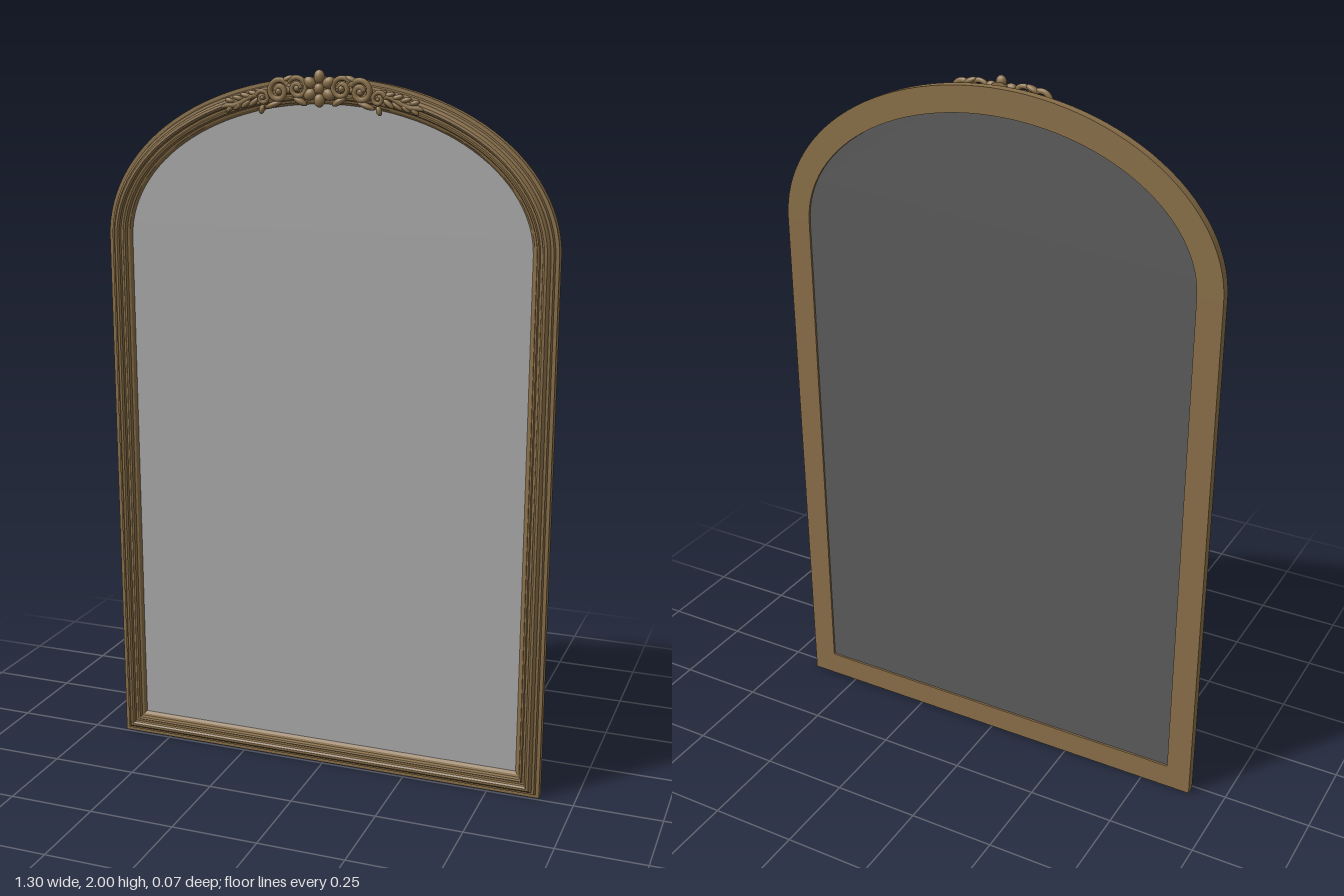
import * as THREE from 'three';
import { toCreasedNormals } from 'three/addons/utils/BufferGeometryUtils.js';

const HALF_W = 0.65, SPRING = 1.53, RISE = 0.45, ARCH_STEPS = 56;

// Arched outline moved inward by d, counterclockwise from the bottom left corner
function outline(d) {
  const pts = [new THREE.Vector2(-HALF_W + d, d), new THREE.Vector2(HALF_W - d, d)];
  for (let i = 0; i <= ARCH_STEPS; i++) {
    const t = Math.PI * i / ARCH_STEPS;
    pts.push(new THREE.Vector2((HALF_W - d) * Math.cos(t), SPRING + (RISE - d) * Math.sin(t)));
  }
  return pts;
}

// Sweeps a closed profile of [inset, z] pairs round the outline
function sweepFrame(profile) {
  const rings = profile.map(([d]) => outline(d));
  const n = rings[0].length, m = profile.length;
  const pos = [], index = [];
  rings.forEach((ring, j) => ring.forEach(p => pos.push(p.x, p.y, profile[j][1])));
  for (let j = 0; j < m; j++) {
    for (let i = 0; i < n; i++) {
      const k = (j + 1) % m, h = (i + 1) % n;
      const a = j * n + i, b = j * n + h, c = k * n + h, e = k * n + i;
      index.push(a, b, c, a, c, e);
    }
  }
  const g = new THREE.BufferGeometry();
  g.setAttribute('position', new THREE.Float32BufferAttribute(pos, 3));
  g.setIndex(index);
  return toCreasedNormals(g, 0.45);
}

// Height of the middle of the arch moulding at x
const archY = x => SPRING + 0.415 * Math.sqrt(1 - (x / 0.615) ** 2);

export function createModel() {
  const model = new THREE.Group();
  const wood = new THREE.MeshStandardMaterial({ color: 0x8a7049 });
  wood.name = 'antique gold';
  const glass = new THREE.MeshStandardMaterial({ color: 0xaaaaaa });
  glass.name = 'mirror grey';
  const backing = new THREE.MeshStandardMaterial({ color: 0x5c5c5c });
  backing.name = 'backing grey';

  const add = (parent, name, geo, mat) => {
    const mesh = new THREE.Mesh(geo, mat);
    mesh.name = name;
    parent.add(mesh);
    return mesh;
  };

  // Stepped frame moulding
  add(model, 'frame', sweepFrame([
    [0, -0.035], [0, -0.008], [0.01, -0.008], [0.013, 0.001], [0.02, 0.002],
    [0.022, 0.009], [0.027, 0.014], [0.034, 0.015], [0.039, 0.011], [0.041, 0.004],
    [0.047, 0.004], [0.05, 0.008], [0.055, 0.006], [0.058, -0.003], [0.064, -0.005],
    [0.071, -0.014], [0.071, -0.035],
  ]), wood);

  // Mirror and rear panel
  const pane = new THREE.ShapeGeometry(new THREE.Shape(outline(0.069)));
  add(model, 'mirror', pane, glass).position.z = -0.013;
  const rear = add(model, 'rearPanel', pane, backing);
  rear.rotation.y = Math.PI;
  rear.position.z = -0.029;

  // Carved crest
  const crest = new THREE.Group();
  crest.name = 'crest';
  model.add(crest);
  const ball = new THREE.SphereGeometry(1, 16, 10);
  const blob = (name, x, y, z, sx, sy, sz, turn = 0) => {
    const b = add(crest, name, ball, wood);
    b.position.set(x, y, z);
    b.scale.set(sx, sy, sz);
    b.rotation.z = turn;
  };

  // Central rosette
  const cy = 1.951;
  const disc = add(crest, 'rosetteBase', new THREE.CylinderGeometry(0.03, 0.034, 0.016, 24), wood);
  disc.rotation.x = Math.PI / 2;
  disc.position.set(0, cy, 0.014);
  for (let i = 0; i < 6; i++) {
    const t = Math.PI / 2 + i * Math.PI / 3;
    blob('petal', 0.031 * Math.cos(t), cy + 0.031 * Math.sin(t), 0.021, 0.018, 0.015, 0.011, t);
  }
  blob('rosetteCentre', 0, cy, 0.025, 0.014, 0.014, 0.01);

  // Spiral scroll: a tube winding inward from radius r
  const scroll = (x, y, z, r, start, turns, side, thick) => {
    const pts = [];
    for (let i = 0; i <= 20; i++) {
      const f = i / 20, t = start + f * turns * Math.PI * 2, q = r * (1 - 0.75 * f);
      pts.push(new THREE.Vector3(side * (x + q * Math.cos(t)), y + q * Math.sin(t), z));
    }
    add(crest, 'scroll', new THREE.TubeGeometry(new THREE.CatmullRomCurve3(pts), 40, thick, 8), wood);
    blob('scrollEye', side * x, y, z, r * 0.32, r * 0.32, 0.009);
  };

  for (const s of [1, -1]) {
    scroll(0.062, 1.951, 0.022, 0.03, 0.6, 1.4, s, 0.007);
    scroll(0.115, 1.943, 0.022, 0.032, 2.6, -1.4, s, 0.008);
    scroll(0.163, 1.925, 0.019, 0.02, 0.4, 1.2, s, 0.006);

    // Stem running along the arch
    const stem = [];
    for (let i = 0; i <= 8; i++) {
      const x = 0.05 + i * 0.028;
      stem.push(new THREE.Vector3(s * x, archY(x) + 0.006 * Math.sin(i * 1.6), 0.014));
    }
    add(crest, 'stem', new THREE.TubeGeometry(new THREE.CatmullRomCurve3(stem), 32, 0.007, 8), wood);

    // Leaves, shrinking toward the tip
    for (let i = 0; i < 5; i++) {
      const x = 0.165 + i * 0.024, size = 0.021 - i * 0.0018;
      blob('upperLeaf', s * x, archY(x) + 0.011, 0.014, size, 0.007, 0.007, s * 0.25);
      blob('lowerLeaf', s * x, archY(x) - 0.011, 0.014, size, 0.007, 0.007, -s * 0.65);
    }
    blob('tipLeaf', s * 0.27, archY(0.27), 0.014, 0.016, 0.006, 0.006, -s * 0.3);

    // Inner edge leaves and hanging bud
    blob('innerLeaf', s * 0.055, 1.918, 0.02, 0.022, 0.009, 0.01, s * 0.5);
    blob('innerLeaf', s * 0.13, 1.908, 0.02, 0.026, 0.008, 0.01, -s * 0.35);
    blob('bud', s * 0.165, 1.895, 0.018, 0.008, 0.013, 0.008, s * 0.3);
    blob('crownLeaf', s * 0.09, 1.975, 0.02, 0.02, 0.008, 0.01, -s * 0.4);
  }
  return model;
}
